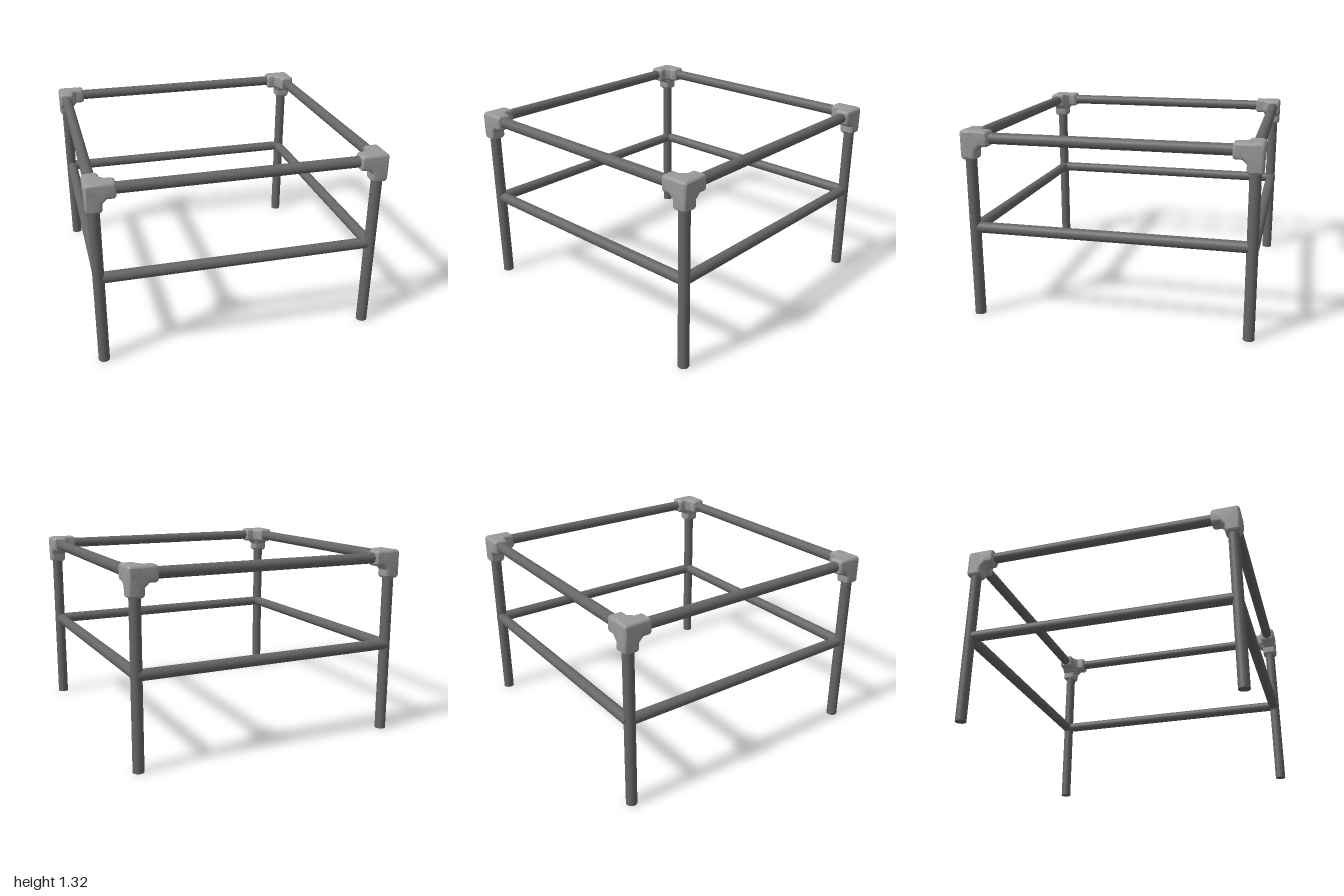
import * as THREE from 'three';
import { toCreasedNormals } from 'three/addons/utils/BufferGeometryUtils.js';

const R = 0.038;      // pipe radius
const C = 0.945;      // leg centre line
const TOP = 1.262;    // top rail height
const MID = 0.635;    // lower rail height
const H = 0.054;      // half width of the corner fitting

const pipeMaterial = new THREE.MeshStandardMaterial({ color: 0x666666 });
const fittingMaterial = new THREE.MeshStandardMaterial({ color: 0x9a9a9a });

// Round pipe between two points
function pipe(name, a, b) {
  const from = new THREE.Vector3(...a);
  const dir = new THREE.Vector3(...b).sub(from);
  const mesh = new THREE.Mesh(new THREE.CylinderGeometry(R, R, dir.length(), 32), pipeMaterial);
  mesh.position.copy(from).addScaledVector(dir, 0.5);
  mesh.quaternion.setFromUnitVectors(new THREE.Vector3(0, 1, 0), dir.normalize());
  mesh.name = name;
  return mesh;
}

// Bevelled L with a small gusset; arms run along -x and -y
function elbowGeometry() {
  const end = H - 0.197, c = 0.015, g = 0.03;
  const outline = [
    [H - c, H], [end + c, H], [end, H - c], [end, -H + c], [end + c, -H],
    [-H - g, -H], [-H, -H - g],
    [-H, end + c], [-H + c, end], [H - c, end], [H, end + c], [H, H - c],
  ];
  const shape = new THREE.Shape(outline.map(([x, y]) => new THREE.Vector2(x, y)));
  const bevel = 0.024;
  const geometry = new THREE.ExtrudeGeometry(shape, {
    depth: 2 * (H - bevel), bevelThickness: bevel, bevelSize: bevel * 0.8,
    bevelOffset: -bevel * 0.8, bevelSegments: 4,
  });
  geometry.translate(0, 0, -(H - bevel));
  return toCreasedNormals(geometry, 0.6);
}

// Three-way fitting: one L in each plane
function cornerFitting(geometry) {
  const group = new THREE.Group();
  const diagonal = new THREE.Vector3(1, 1, 1).normalize();
  for (let i = 0; i < 3; i++) {
    const elbow = new THREE.Mesh(geometry, fittingMaterial);
    elbow.quaternion.setFromAxisAngle(diagonal, i * Math.PI * 2 / 3);
    elbow.name = 'fittingElbow';
    group.add(elbow);
  }
  group.name = 'cornerFitting';
  return group;
}

export function createModel() {
  const model = new THREE.Group();
  model.name = 'pipeFrame';
  const elbow = elbowGeometry();

  // Legs and corner fittings
  [[1, 1], [1, -1], [-1, -1], [-1, 1]].forEach(([sx, sz], i) => {
    model.add(pipe('leg', [sx * C, 0, sz * C], [sx * C, TOP, sz * C]));
    const fitting = cornerFitting(elbow);
    fitting.position.set(sx * C, TOP, sz * C);
    fitting.rotation.y = i * Math.PI / 2;
    model.add(fitting);
  });

  // Top rails, and lower rails set slightly off the leg centre lines
  for (const s of [1, -1]) {
    model.add(pipe('topCrossRail', [-C, TOP, s * C], [C, TOP, s * C]));
    model.add(pipe('topSideRail', [s * C, TOP, -C], [s * C, TOP, C]));
    const z = s > 0 ? C - 0.006 : -C - 0.006;
    const x = s * (C - 0.006);
    model.add(pipe('lowerCrossRail', [-C, MID, z], [C, MID, z]));
    model.add(pipe('lowerSideRail', [x, MID, -C], [x, MID, C]));
  }
  return model;
}
